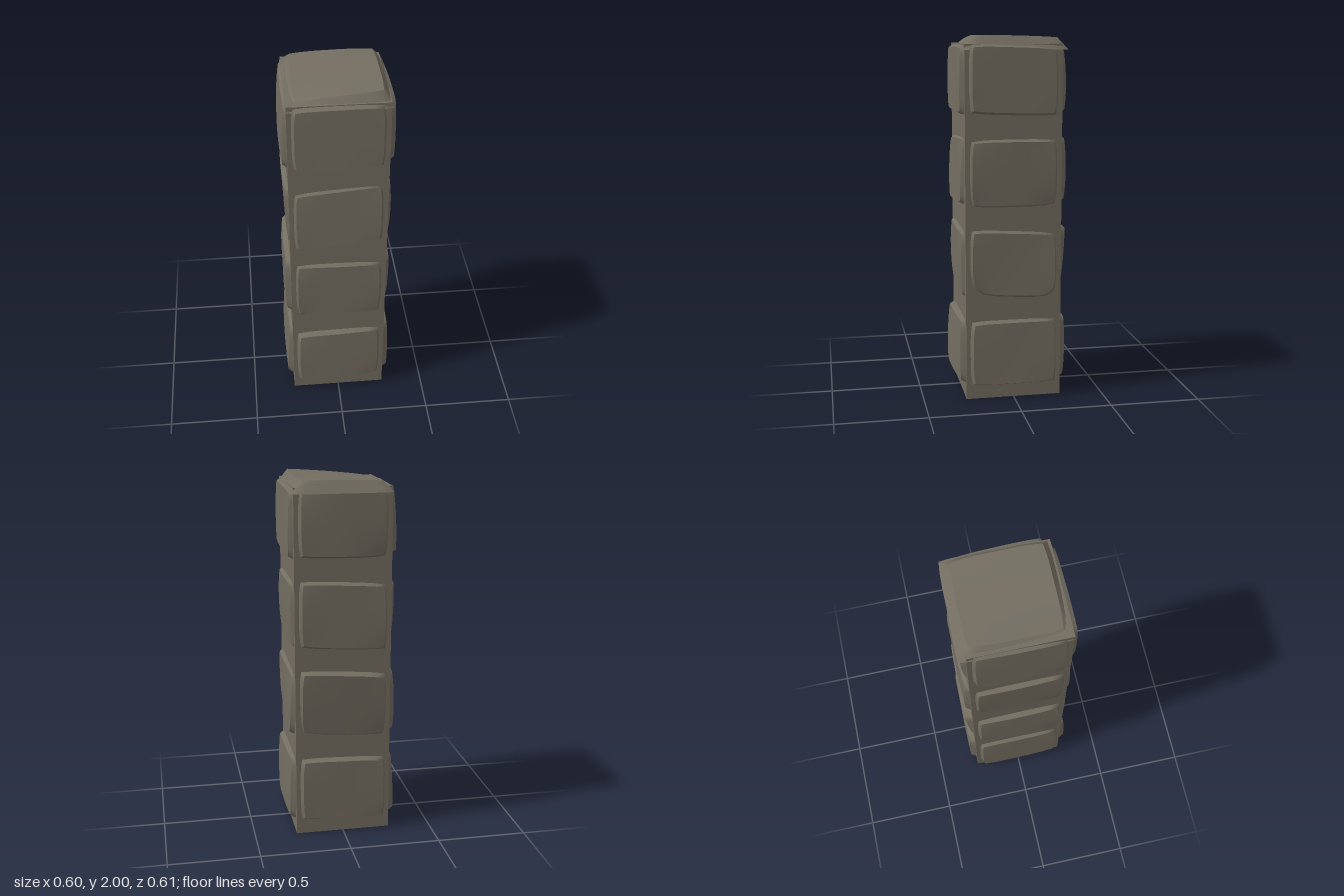
import * as THREE from 'three';
import { mergeGeometries } from 'three/addons/utils/BufferGeometryUtils.js';

const HALF = 0.265, CORE_TOP = 1.95, N = 8;

function surface(points, index) {
  const g = new THREE.BufferGeometry();
  g.setAttribute('position', new THREE.Float32BufferAttribute(points.flat(), 3));
  g.setIndex(index);
  g.computeVertexNormals();
  return g;
}

// A hewn stone lying on the plane z = 0: a gently domed face with a bevelled rim.
// Depths run bottom left, bottom right, top right, top left; tilt raises the right end.
function stoneGeometry({ width, height, depths, tilt = 0, bulge = 0.006, round = 0.04, bevel = 0.018, drop = 0.01 }) {
  const facePoint = (s, t) => {
    const a = (1 + s) / 2, b = (1 + t) / 2;
    const [bl, br, tr, tl] = depths;
    const depth = (1 - b) * ((1 - a) * bl + a * br) + b * (a * tr + (1 - a) * tl);
    const pull = 1 - (t < 0 ? round : 0.04) * Math.pow(s * t, 4);
    return [
      s * width / 2 * pull,
      t * height / 2 * pull + s * tilt / 2,
      depth + bulge * (1 - s * s * t * t),
    ];
  };

  // Domed face
  const face = [], faceIndex = [];
  for (let j = 0; j <= N; j++) {
    for (let i = 0; i <= N; i++) {
      face.push(facePoint(2 * i / N - 1, 2 * j / N - 1));
      if (i < N && j < N) {
        const k = j * (N + 1) + i;
        faceIndex.push(k, k + 1, k + N + 2, k, k + N + 2, k + N + 1);
      }
    }
  }

  // Bevelled rim, followed counter-clockwise
  const rim = [], rimIndex = [];
  for (let i = 0; i <= 4 * N; i++) {
    const side = Math.floor(i / N) % 4, f = 2 * (i % N) / N - 1;
    const [s, t] = [[f, -1], [1, f], [-f, 1], [-1, -f]][side];
    const p = facePoint(s, t);
    rim.push(p, [p[0] + bevel * s, p[1] + bevel * t, Math.min(0, p[2]) - drop]);
    if (i < 4 * N) {
      const k = 2 * i;
      rimIndex.push(k + 1, k + 3, k + 2, k + 1, k + 2, k);
    }
  }
  return mergeGeometries([surface(face, faceIndex), surface(rim, rimIndex)]);
}

// Stones of each side from the bottom row up
const FRONT = [
  { depths: [0.04, 0.025, 0.02, 0.028], tilt: 0.01 },
  { depths: [0.006, 0.012, 0.014, 0.012], tilt: -0.008, bulge: 0.009 },
  { depths: [0.022, 0.022, 0.004, 0.012], tilt: 0.032 },
  { depths: [0.025, 0.022, 0.016, 0.022], bulge: 0.004 },
];
const LEFT = [
  { depths: [0.03, 0.03, 0.018, 0.025], bulge: 0.004 },
  { depths: [0.004, 0.025, 0.008, 0.018], tilt: -0.028, round: 0.14 },
  { depths: [0.004, 0.004, 0.012, 0.012], bulge: 0.009 },
  { depths: [0.025, 0.025, 0.016, 0.022], tilt: -0.015, bulge: 0.004 },
];
const BACK = [
  { depths: [0.025, 0.03, 0.028, 0.028], tilt: -0.015 },
  { depths: [0.002, 0.004, 0.038, 0.03], tilt: -0.035, bulge: 0.005 },
  { depths: [0.022, 0.026, 0.018, 0.022], tilt: -0.03, bulge: 0.009 },
  { depths: [0.022, 0.008, 0.022, 0.012], tilt: -0.01, bulge: 0.01 },
];
const RIGHT = [
  { depths: [0.035, 0.03, 0.014, 0.018], bulge: 0.004 },
  { depths: [0.026, 0.024, 0.022, 0.02], tilt: 0.015, bulge: 0.008 },
  { depths: [0.002, 0.006, 0.018, 0.02], tilt: 0.01, bulge: 0.007 },
  { depths: [0.03, 0.024, 0.01, 0.012], tilt: -0.015 },
];

export function createModel() {
  const model = new THREE.Group();
  model.name = 'stonePillar';
  const stone = new THREE.MeshStandardMaterial({ color: 0x736d61 });
  stone.name = 'warm grey stone';

  // Square core
  const core = new THREE.Mesh(new THREE.BoxGeometry(2 * HALF, CORE_TOP, 2 * HALF), stone);
  core.name = 'core';
  core.position.y = CORE_TOP / 2;
  model.add(core);

  // Four stones up each side
  Object.entries({ front: FRONT, left: LEFT, back: BACK, right: RIGHT }).forEach(([name, stones], turn) => {
    const side = new THREE.Group();
    side.name = name + 'Stones';
    side.rotation.y = turn * Math.PI / 2;
    stones.forEach((shape, row) => {
      const mesh = new THREE.Mesh(stoneGeometry({ width: 0.455, height: 0.345, ...shape }), stone);
      mesh.name = name + 'Stone' + (row + 1);
      mesh.position.set(0, 0.26 + 0.5 * row, HALF);
      side.add(mesh);
    });
    model.add(side);
  });

  // Uneven cap stone
  const cap = new THREE.Mesh(stoneGeometry({
    width: 0.46, height: 0.48, depths: [0.004, 0.046, 0.034, 0.026], bulge: 0.004, bevel: 0.05, drop: 0.03,
  }), stone);
  cap.name = 'capStone';
  cap.rotation.x = -Math.PI / 2;
  cap.position.set(0.005, CORE_TOP, -0.012);
  model.add(cap);

  return model;
}
